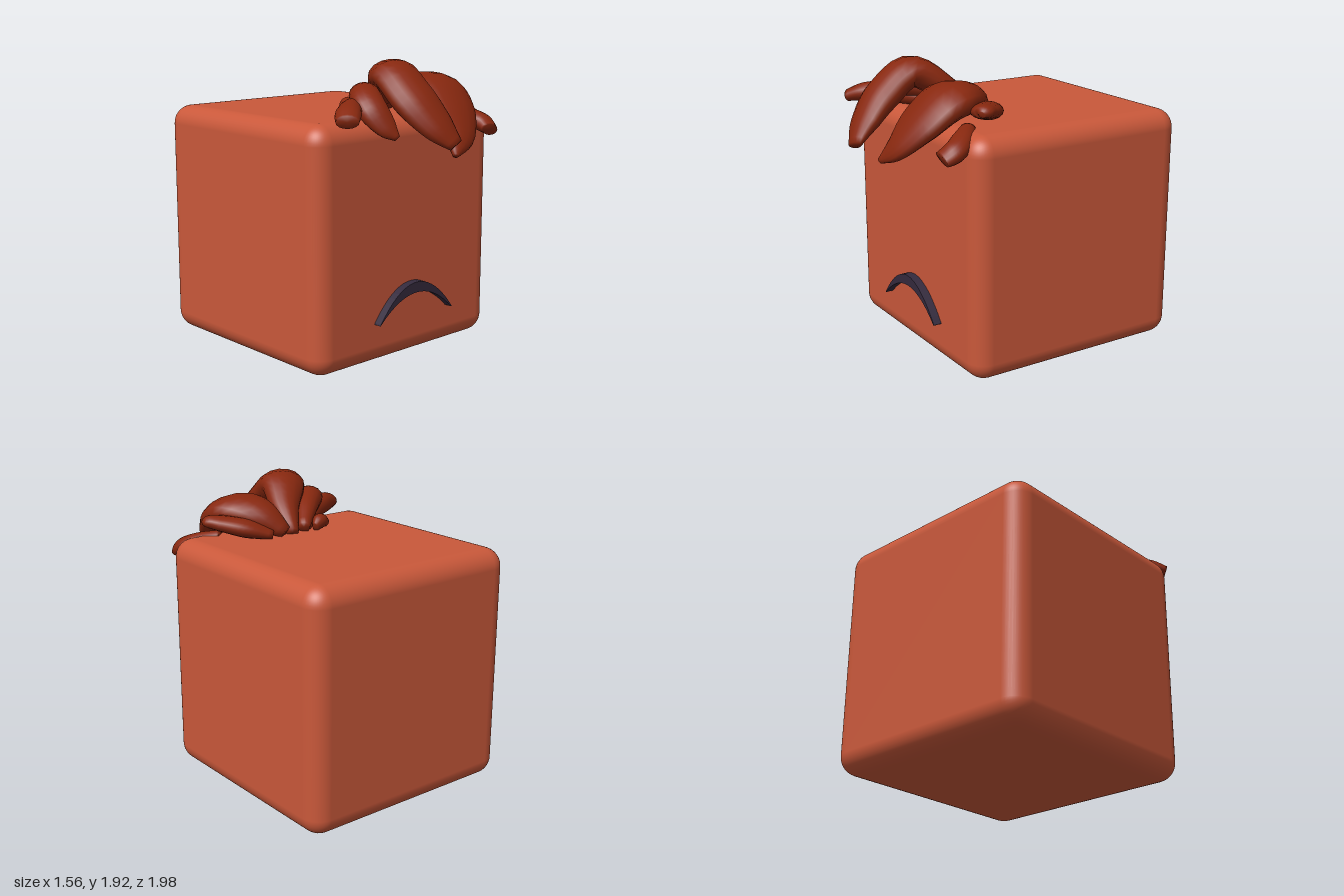
import * as THREE from 'three';
import { RoundedBoxGeometry } from 'three/addons/geometries/RoundedBoxGeometry.js';

const material = (name, color) => {
  const m = new THREE.MeshStandardMaterial({ color });
  m.name = name;
  return m;
};

// Lock of hair: rows of [x, y, z, half width, half thickness] from root to tip
function lockGeometry(rows, rings = 24, sides = 16) {
  const centre = new THREE.CatmullRomCurve3(rows.map(r => new THREE.Vector3(r[0], r[1], r[2])));
  const size = new THREE.CatmullRomCurve3(rows.map(r => new THREE.Vector3(r[3], r[4], 0)));
  const heading = centre.getPoint(1).sub(centre.getPoint(0)).setY(0).normalize();
  const across = new THREE.Vector3(0, 1, 0).cross(heading);
  const pos = [], index = [];
  for (let i = 0; i <= rings + 2; i++) {
    const t = THREE.MathUtils.clamp((i - 1) / rings, 0, 1);
    const closed = i === 0 || i === rings + 2 ? 0 : 1; // collapsed rings cap the ends
    const p = centre.getPoint(t), s = size.getPoint(t), tangent = centre.getTangent(t);
    const n = new THREE.Vector3().crossVectors(tangent, across).normalize();
    const side = new THREE.Vector3().crossVectors(n, tangent);
    for (let j = 0; j < sides; j++) {
      const a = (j / sides) * Math.PI * 2;
      const v = p.clone()
        .addScaledVector(side, Math.cos(a) * s.x * closed)
        .addScaledVector(n, Math.sin(a) * s.y * closed);
      pos.push(v.x, v.y, v.z);
      if (i === rings + 2) continue;
      const k = (j + 1) % sides, r = i * sides, q = r + sides;
      index.push(r + j, r + k, q + j, r + k, q + k, q + j);
    }
  }
  const g = new THREE.BufferGeometry();
  g.setAttribute('position', new THREE.Float32BufferAttribute(pos, 3));
  g.setIndex(index);
  g.computeVertexNormals();
  return g;
}

const LOCKS = {
  centreLock: [
    [0.08, 1.58, 0.13, 0.04, 0.04], [0.02, 1.71, 0.3, 0.1, 0.08], [-0.1, 1.83, 0.5, 0.16, 0.1],
    [-0.12, 1.7, 0.69, 0.165, 0.1], [-0.07, 1.54, 0.85, 0.13, 0.07], [-0.01, 1.43, 0.95, 0.06, 0.03]],
  leftFrontLock: [
    [0.14, 1.59, 0.13, 0.05, 0.04], [0.24, 1.7, 0.28, 0.14, 0.09], [0.29, 1.7, 0.48, 0.23, 0.11],
    [0.26, 1.58, 0.64, 0.21, 0.09], [0.21, 1.45, 0.76, 0.13, 0.06], [0.11, 1.34, 0.84, 0.02, 0.02]],
  rightFrontLock: [
    [-0.02, 1.6, 0.14, 0.04, 0.04], [-0.18, 1.69, 0.32, 0.08, 0.07], [-0.32, 1.71, 0.48, 0.1, 0.08],
    [-0.38, 1.65, 0.6, 0.1, 0.07], [-0.35, 1.54, 0.7, 0.07, 0.04], [-0.31, 1.48, 0.75, 0.02, 0.02]],
  rightSideLock: [
    [-0.08, 1.6, 0.19, 0.04, 0.04], [-0.25, 1.63, 0.37, 0.07, 0.06], [-0.45, 1.64, 0.5, 0.07, 0.07],
    [-0.57, 1.63, 0.6, 0.08, 0.06], [-0.65, 1.6, 0.68, 0.07, 0.04]],
  rightBackTuft: [
    [-0.1, 1.59, 0.12, 0.02, 0.03], [-0.16, 1.62, 0.15, 0.05, 0.05],
    [-0.22, 1.6, 0.2, 0.05, 0.04], [-0.26, 1.58, 0.23, 0.02, 0.02]],
  leftSideLock: [
    [0.24, 1.59, 0.14, 0.06, 0.03], [0.4, 1.64, 0.24, 0.1, 0.06], [0.52, 1.67, 0.34, 0.09, 0.05],
    [0.58, 1.68, 0.38, 0.06, 0.04], [0.6, 1.67, 0.41, 0.02, 0.02]],
  leftCornerLock: [
    [0.46, 1.56, 0.42, 0.05, 0.04], [0.56, 1.53, 0.52, 0.07, 0.05],
    [0.62, 1.48, 0.61, 0.08, 0.06], [0.61, 1.44, 0.69, 0.07, 0.04]],
};

export function createModel() {
  const model = new THREE.Group();
  const skin = material('skin red', 0xc9583a);
  const hairRed = material('hair dark red', 0x88280f);
  const dark = material('mouth dark purple', 0x342a3d);

  // Rounded cube head
  const head = new THREE.Mesh(new RoundedBoxGeometry(1.56, 1.57, 1.56, 5, 0.125), skin);
  head.name = 'head';
  head.position.set(0, 0.785, -0.22);
  model.add(head);

  // Frowning crescent mouth
  const crescent = new THREE.Shape();
  crescent.moveTo(-0.31, 0.275);
  crescent.quadraticCurveTo(0.02, 0.595, 0.345, 0.27);
  crescent.lineTo(0.35, 0.275);
  crescent.quadraticCurveTo(0.01, 0.725, -0.305, 0.285);
  crescent.closePath();
  const mouth = new THREE.Mesh(
    new THREE.ExtrudeGeometry(crescent, { depth: 0.075, bevelEnabled: false, curveSegments: 20 }), dark);
  mouth.name = 'mouth';
  mouth.position.z = 0.54;
  model.add(mouth);

  // Swept tuft of hair
  const hair = new THREE.Group();
  hair.name = 'hair';
  for (const [name, rows] of Object.entries(LOCKS)) {
    const lock = new THREE.Mesh(lockGeometry(rows), hairRed);
    lock.name = name;
    hair.add(lock);
  }
  model.add(hair);
  return model;
}
